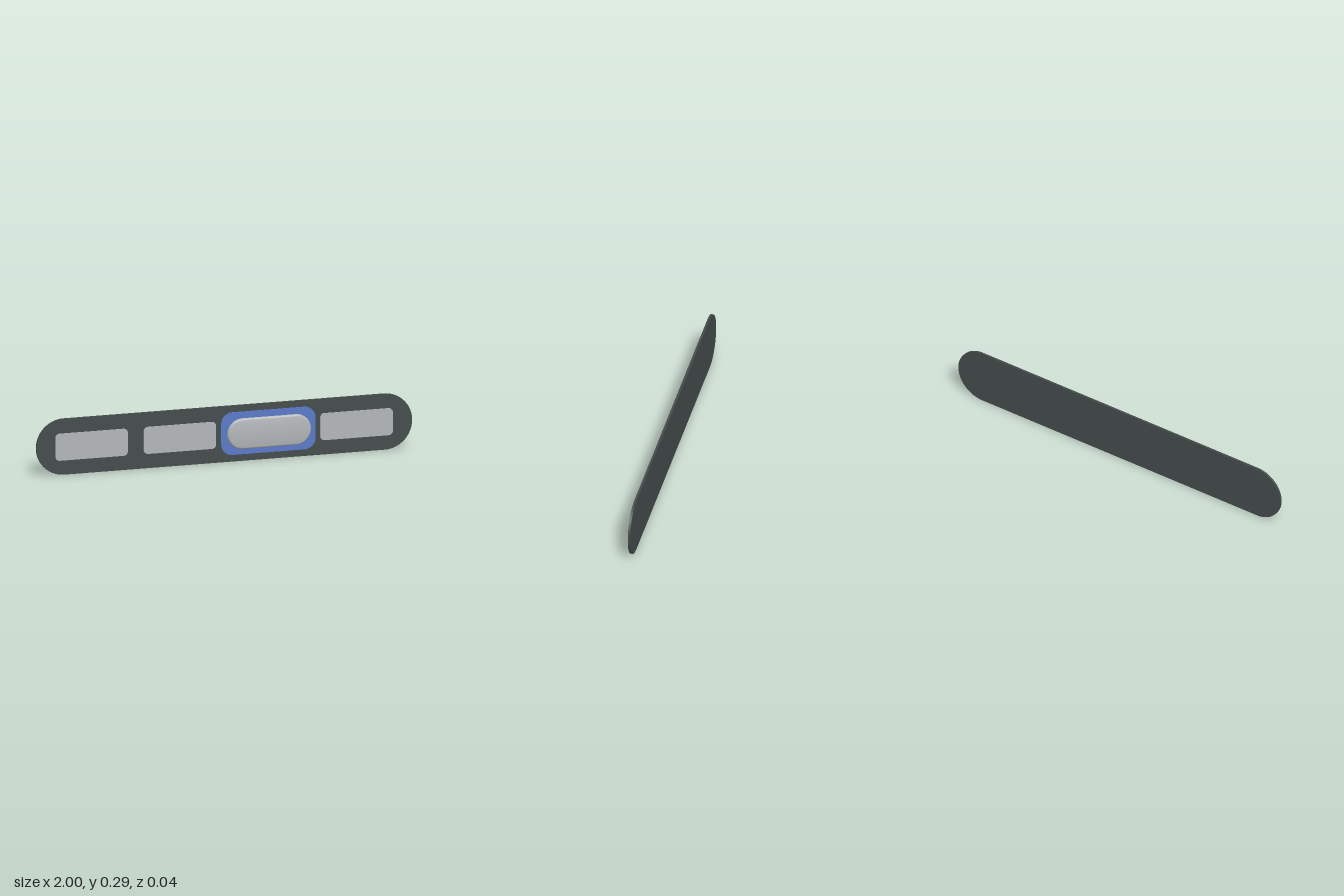
import * as THREE from 'three';
import { toCreasedNormals } from 'three/addons/utils/BufferGeometryUtils.js';

const paint = (name, color) => Object.assign(new THREE.MeshStandardMaterial({ color }), { name });

// Outline of a rounded rectangle centred on the origin
function roundedRect(w, h, r) {
  const x = w / 2 - r, y = h / 2 - r, s = new THREE.Shape();
  s.absarc(x, y, r, 0, Math.PI / 2);
  s.absarc(-x, y, r, Math.PI / 2, Math.PI);
  s.absarc(-x, -y, r, Math.PI, Math.PI * 1.5);
  s.absarc(x, -y, r, Math.PI * 1.5, Math.PI * 2);
  s.closePath();
  return s;
}

// Rounded slab given by its x, y and z extents
function slab(name, [x0, x1], [y0, y1], [z0, z1], r, material, steps = 1, shapeGeometry) {
  const geo = new THREE.ExtrudeGeometry(roundedRect(x1 - x0, y1 - y0, r),
    { depth: z1 - z0, bevelEnabled: false, curveSegments: 14, steps });
  if (shapeGeometry) shapeGeometry(geo);
  const mesh = new THREE.Mesh(toCreasedNormals(geo, 0.6), material);
  mesh.name = name;
  mesh.position.set((x0 + x1) / 2, (y0 + y1) / 2, z0);
  return mesh;
}

export function createModel() {
  const group = new THREE.Group();
  group.name = 'switchBar';
  const dark = paint('charcoal', 0x444a4a);
  const grey = paint('lightGrey', 0xb2b6b8);
  const blue = paint('blue', 0x5a7ac8);

  // Long backing plate with round ends
  group.add(slab('backPlate', [-1, 1], [0, 0.294], [-0.02, -0.008], 0.1469, dark));

  // Three flat pads
  [[-0.9, -0.515], [-0.43, -0.045], [0.51, 0.896]].forEach((x, i) =>
    group.add(slab(`pad${i + 1}`, x, [0.076, 0.218], [-0.008, -0.003], 0.022, grey)));

  // Highlighted plate behind the slider
  group.add(slab('highlightPlate', [-0.018, 0.485], [0.036, 0.26], [-0.008, -0.003], 0.06, blue));

  // Raised slider knob, its front edge rounded in towards its spine
  const depth = 0.0115, radius = 0.0805, spine = 0.2225 - radius;
  group.add(slab('sliderKnob', [0.01, 0.455], [0.067, 0.229], [0.0095, 0.0095 + depth], radius, grey, 6, (geo) => {
    const p = geo.attributes.position;
    for (let i = 0; i < p.count; i++) {
      const t = p.getZ(i) / depth;
      const k = 1 - 0.12 * (1 - Math.sqrt(Math.max(0, 1 - t * t)));
      const cx = THREE.MathUtils.clamp(p.getX(i), -spine, spine);
      p.setX(i, cx + (p.getX(i) - cx) * k);
      p.setY(i, p.getY(i) * k);
    }
  }));
  return group;
}
